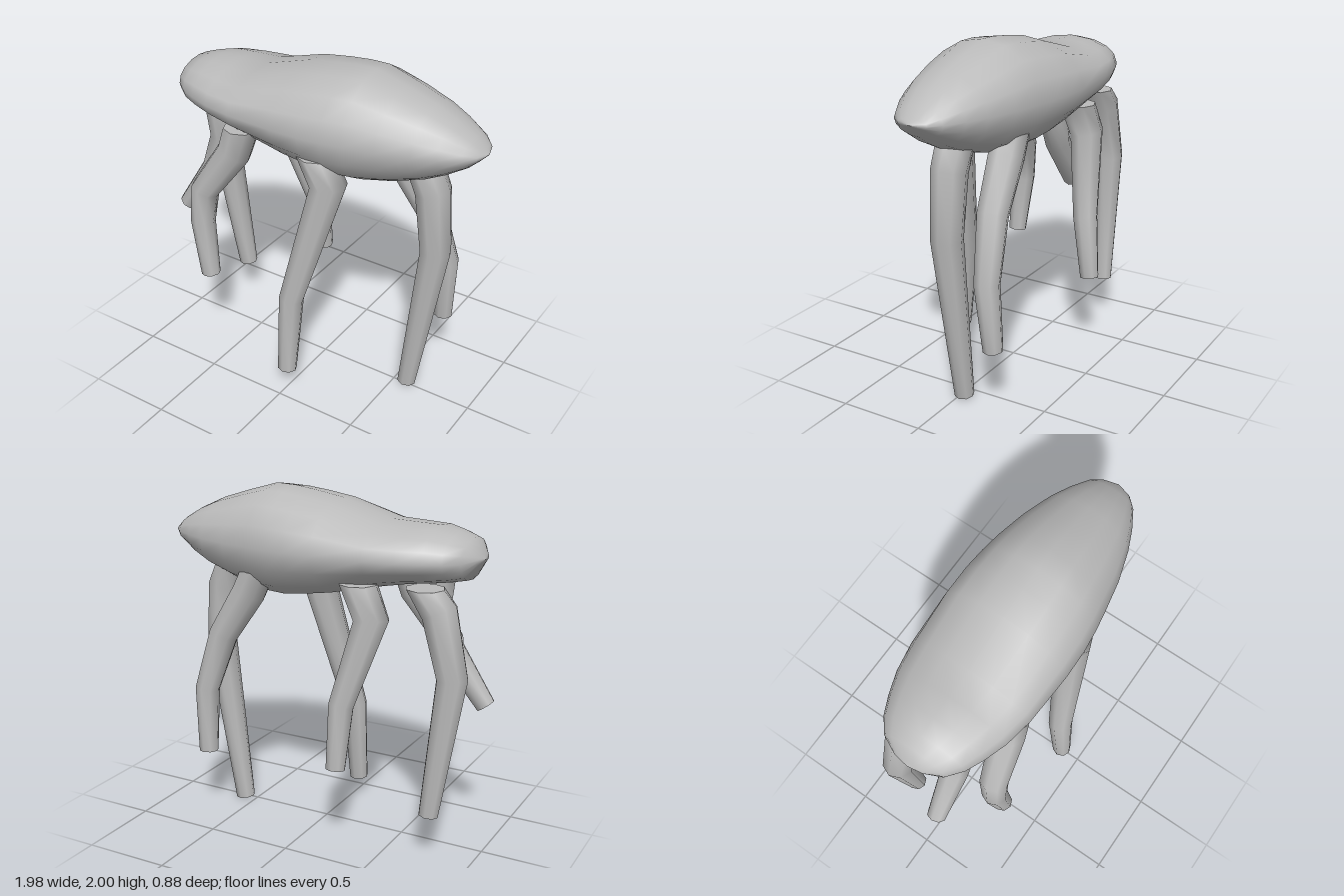
import * as THREE from 'three';

const V = (x, y, z) => new THREE.Vector3(x, y, z);

// Skin a list of equal-length rings; optionally close both ends with flat caps
function loft(rings, caps) {
  const n = rings[0].length, pos = [], idx = [];
  rings.forEach(r => r.forEach(p => pos.push(p.x, p.y, p.z)));
  for (let i = 0; i < rings.length - 1; i++) {
    for (let j = 0; j < n; j++) {
      const k = (j + 1) % n;
      const a = i * n + j, b = i * n + k, c = a + n, d = b + n;
      idx.push(a, b, c, b, d, c);
    }
  }
  if (caps) {
    [rings[0], rings[rings.length - 1]].forEach((r, end) => {
      const s = pos.length / 3;
      r.forEach(p => pos.push(p.x, p.y, p.z));
      for (let j = 1; j < n - 1; j++) {
        if (end) idx.push(s, s + j, s + j + 1);
        else idx.push(s, s + j + 1, s + j);
      }
    });
  }
  const g = new THREE.BufferGeometry();
  g.setAttribute('position', new THREE.Float32BufferAttribute(pos, 3));
  g.setIndex(idx);
  g.computeVertexNormals();
  return g;
}

// Body stations: x, top y, bottom y, half width
const MID = 1.69;
const STATIONS = [
  [-0.945, 1.69, 1.69, 0],
  [-0.93, 1.715, 1.66, 0.09],
  [-0.88, 1.80, 1.575, 0.19],
  [-0.80, 1.825, 1.56, 0.255],
  [-0.70, 1.85, 1.545, 0.30],
  [-0.57, 1.853, 1.53, 0.345],
  [-0.40, 1.858, 1.495, 0.375],
  [-0.10, 1.95, 1.42, 0.392],
  [0.07, 1.978, 1.39, 0.389],
  [0.20, 1.995, 1.372, 0.375],
  [0.32, 2.0, 1.378, 0.355],
  [0.50, 1.948, 1.42, 0.32],
  [0.68, 1.89, 1.48, 0.265],
  [0.80, 1.835, 1.54, 0.213],
  [0.91, 1.77, 1.61, 0.15],
  [0.965, 1.717, 1.662, 0.09],
  [0.993, 1.69, 1.69, 0],
];

function bodyGeometry() {
  const n = 16;
  return loft(STATIONS.map(([x, top, bottom, w]) =>
    Array.from({ length: n }, (_, j) => {
      const a = j / n * Math.PI * 2, c = Math.cos(a);
      return V(x, MID + c * (c > 0 ? top - MID : MID - bottom), w * Math.sin(a));
    })), false);
}

// Leg centre lines, from hip to tip
const LEGS = {
  frontMiddleLeg: [[0.10, 1.54, 0.25], [0.19, 1.38, 0.262], [-0.01, 0.61, 0.345], [-0.022, 0.11, 0.385]],
  leftEndLeg: [[0.62, 1.51, -0.02], [0.68, 1.37, -0.02], [0.715, 1.0, -0.02], [0.575, 0.005, -0.02]],
  backLeftLeg: [[0.34, 1.53, -0.19], [0.40, 1.40, -0.195], [0.57, 1.13, -0.215], [0.68, 0.78, -0.245], [0.668, 0.39, -0.272]],
  backMiddleLeg: [[-0.32, 1.54, -0.24], [-0.41, 1.35, -0.26], [-0.27, 0.87, -0.335], [-0.258, 0.5, -0.378]],
  backRightLeg: [[-0.68, 1.54, -0.17], [-0.77, 1.42, -0.18], [-0.86, 1.07, -0.195], [-0.76, 0.27, -0.225]],
  rightEndLeg: [[-0.64, 1.55, 0.09], [-0.63, 1.38, 0.09], [-0.72, 1.15, 0.1], [-0.945, 0.837, 0.11]],
  frontRightLeg: [[-0.39, 1.57, 0.25], [-0.44, 1.41, 0.265], [-0.64, 1.12, 0.305], [-0.662, 0.9, 0.318], [-0.614, 0.55, 0.335]],
};

// Tapered, mitred limb with a level top
function legGeometry(points) {
  const n = 8, p = points.map(q => V(...q)), last = p.length - 1;
  const dirs = p.slice(1).map((q, i) => q.clone().sub(p[i]).normalize());
  const dist = [0];
  for (let i = 1; i <= last; i++) dist.push(dist[i - 1] + p[i].distanceTo(p[i - 1]));
  return loft(p.map((c, i) => {
    let t, stretch = 1;
    if (i === 0) t = V(0, -1, 0);
    else if (i === last) t = dirs[last - 1];
    else {
      t = dirs[i - 1].clone().add(dirs[i]).normalize();
      stretch = 1 / t.dot(dirs[i]);
    }
    const u = V(0, 0, 1).addScaledVector(t, -t.z).normalize();
    const v = t.clone().cross(u);
    const r = THREE.MathUtils.lerp(0.108, 0.057, dist[i] / dist[last]);
    return Array.from({ length: n }, (_, j) => {
      const a = j / n * Math.PI * 2;
      return c.clone().addScaledVector(u, r * Math.cos(a)).addScaledVector(v, r * stretch * Math.sin(a));
    });
  }), true);
}

export function createModel() {
  const grey = new THREE.MeshStandardMaterial({ color: 0xbbbbbb });
  grey.name = 'grey';
  const model = new THREE.Group();
  model.name = 'leggedCreature';
  const add = (name, geometry) => {
    const mesh = new THREE.Mesh(geometry, grey);
    mesh.name = name;
    model.add(mesh);
  };
  add('body', bodyGeometry());
  for (const [name, path] of Object.entries(LEGS)) add(name, legGeometry(path));
  return model;
}
